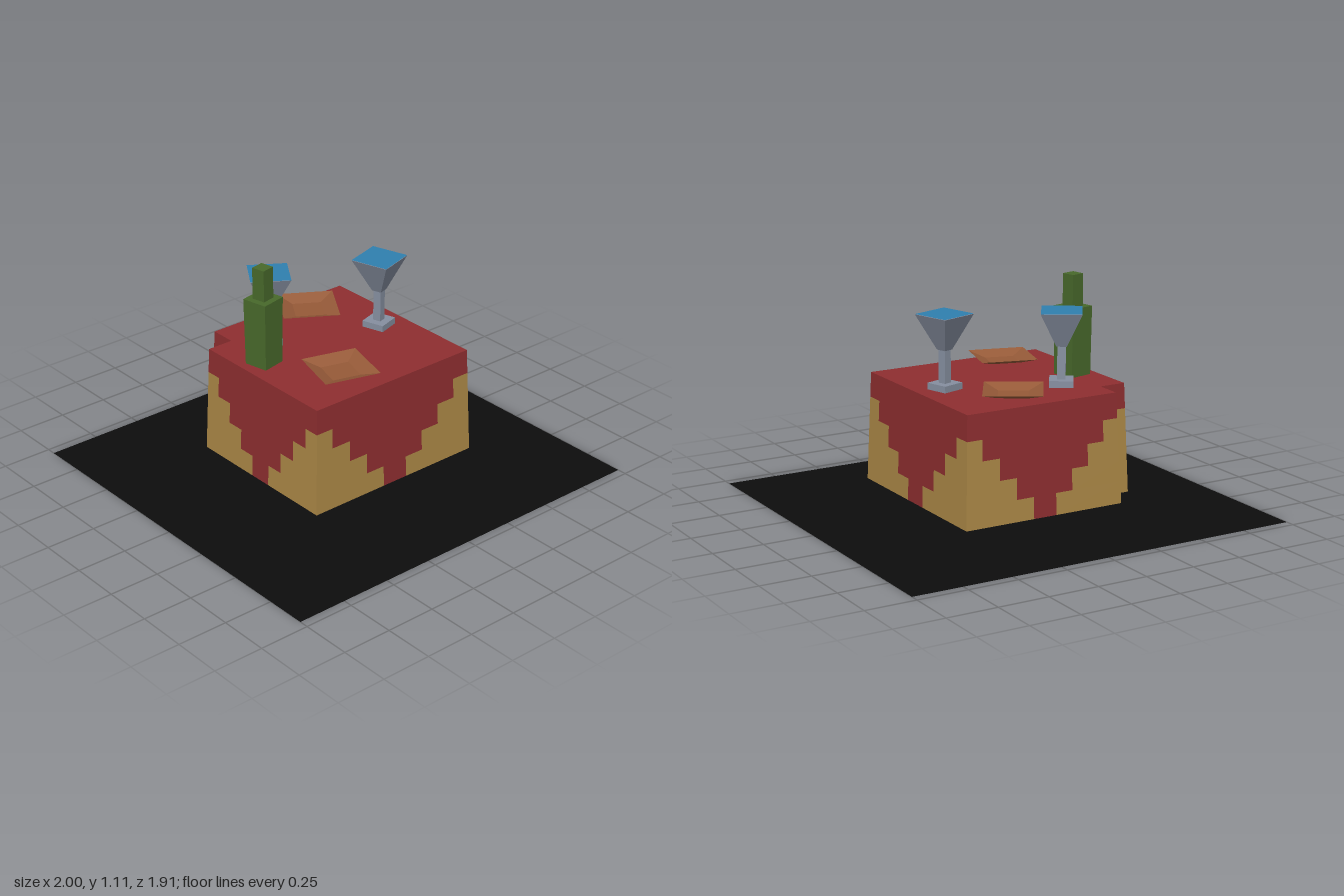
import * as THREE from 'three';

const mat = (name, color) => Object.assign(new THREE.MeshStandardMaterial({ color, flatShading: true }), { name });

export function createModel() {
  const red = mat('red cloth', 0x8e2e30);
  const ochre = mat('ochre cloth', 0xac8846);
  const green = mat('bottle green', 0x48692b);
  const grey = mat('glass grey', 0x868fa0);
  const blue = mat('drink blue', 0x2f80af);
  const brown = mat('plate brown', 0x965a38);
  const black = mat('ground black', 0x0d0d0d);
  brown.side = black.side = THREE.DoubleSide;

  const model = new THREE.Group();
  model.name = 'tableSetting';

  const add = (parent, name, geometry, material, y = 0) => {
    const mesh = new THREE.Mesh(geometry, material);
    mesh.name = name;
    mesh.position.y = y;
    parent.add(mesh);
    return mesh;
  };
  const group = (name, x, z, degrees) => {
    const g = new THREE.Group();
    g.name = name;
    g.position.set(x, 0, z);
    g.rotation.y = THREE.MathUtils.degToRad(degrees);
    model.add(g);
    return g;
  };
  // Square block from y0 to y1 with its own bottom and top widths
  const block = (parent, name, material, bottom, top, y0, y1) => {
    const geo = new THREE.CylinderGeometry(top * Math.SQRT1_2, bottom * Math.SQRT1_2, y1 - y0, 4);
    return add(parent, name, geo.rotateY(Math.PI / 4), material, (y0 + y1) / 2);
  };

  // Flat ground
  add(model, 'ground', new THREE.PlaneGeometry(2, 1.91).rotateX(-Math.PI / 2), black);

  // Tapered tablecloth with one notched corner: outlines as [x, z]
  const low = [[-0.475, 0.436], [0.492, 0.436], [0.492, -0.534], [-0.346, -0.534], [-0.346, -0.398], [-0.475, -0.398]];
  const high = [[-0.455, 0.418], [0.473, 0.418], [0.473, -0.512], [-0.322, -0.512], [-0.322, -0.382], [-0.455, -0.382]];
  const levels = [0.085, 0.19, 0.293, 0.397, 0.497, 0.62];
  const redShare = [0.145, 0.36, 0.58, 0.8, 1];
  const redPos = [], ochrePos = [];
  low.forEach((_, i) => {
    const j = (i + 1) % low.length;
    const notch = i === 3 || i === 4;
    const point = (u, y) => {
      const v = (y - levels[0]) / (levels[5] - levels[0]);
      const at = (k, axis) => THREE.MathUtils.lerp(low[k][axis], high[k][axis], v);
      return [THREE.MathUtils.lerp(at(i, 0), at(j, 0), u), y, THREE.MathUtils.lerp(at(i, 1), at(j, 1), u)];
    };
    const quad = (out, u0, u1, y0, y1) => {
      const a = point(u0, y0), b = point(u1, y0), c = point(u1, y1), d = point(u0, y1);
      out.push(...a, ...b, ...c, ...a, ...c, ...d);
    };
    // Stepped red triangle, band by band
    redShare.forEach((share, k) => {
      const s = notch && share < 1 ? 0 : share;
      const u0 = (1 - s) / 2, u1 = (1 + s) / 2;
      if (s > 0) quad(redPos, u0, u1, levels[k], levels[k + 1]);
      if (s < 1) {
        quad(ochrePos, 0, u0, levels[k], levels[k + 1]);
        quad(ochrePos, u1, 1, levels[k], levels[k + 1]);
      }
    });
  });
  const fromPositions = (positions) => {
    const geo = new THREE.BufferGeometry();
    geo.setAttribute('position', new THREE.Float32BufferAttribute(positions, 3));
    geo.computeVertexNormals();
    return geo;
  };
  add(model, 'clothRedSides', fromPositions(redPos), red);
  add(model, 'clothOchreSides', fromPositions(ochrePos), ochre);
  const topShape = new THREE.Shape(high.map(([x, z]) => new THREE.Vector2(x, -z)));
  add(model, 'clothTop', new THREE.ShapeGeometry(topShape).rotateX(-Math.PI / 2), red, levels[5]);

  // Bottle
  const bottle = group('bottle', -0.34, -0.107, 12);
  block(bottle, 'bottleBody', green, 0.122, 0.13, 0.62, 0.955);
  block(bottle, 'bottleNeck', green, 0.068, 0.068, 0.955, 1.112);

  // Stemmed glasses filled to the brim
  [[-0.18, -0.263, -33], [0.33, -0.053, 17]].forEach(([x, z, turn]) => {
    const glass = group('glass', x, z, turn);
    block(glass, 'glassFoot', grey, 0.115, 0.115, 0.62, 0.652);
    block(glass, 'glassStem', grey, 0.04, 0.04, 0.652, 0.815);
    block(glass, 'glassBowl', grey, 0.05, 0.193, 0.81, 0.978);
    add(glass, 'drink', new THREE.PlaneGeometry(0.193, 0.193).rotateX(-Math.PI / 2), blue, 0.98);
  });

  // Shallow square plates
  const plateProfile = [[0, 0.642], [0.1, 0.642], [0.196, 0.668]].map(([r, y]) => new THREE.Vector2(r, y));
  [[-0.15, 0.225, -16], [0.15, -0.372, -32]].forEach(([x, z, turn]) => {
    const plate = group('plate', x, z, turn);
    add(plate, 'plateDish', new THREE.LatheGeometry(plateProfile, 4).rotateY(Math.PI / 4), brown);
  });

  return model;
}
